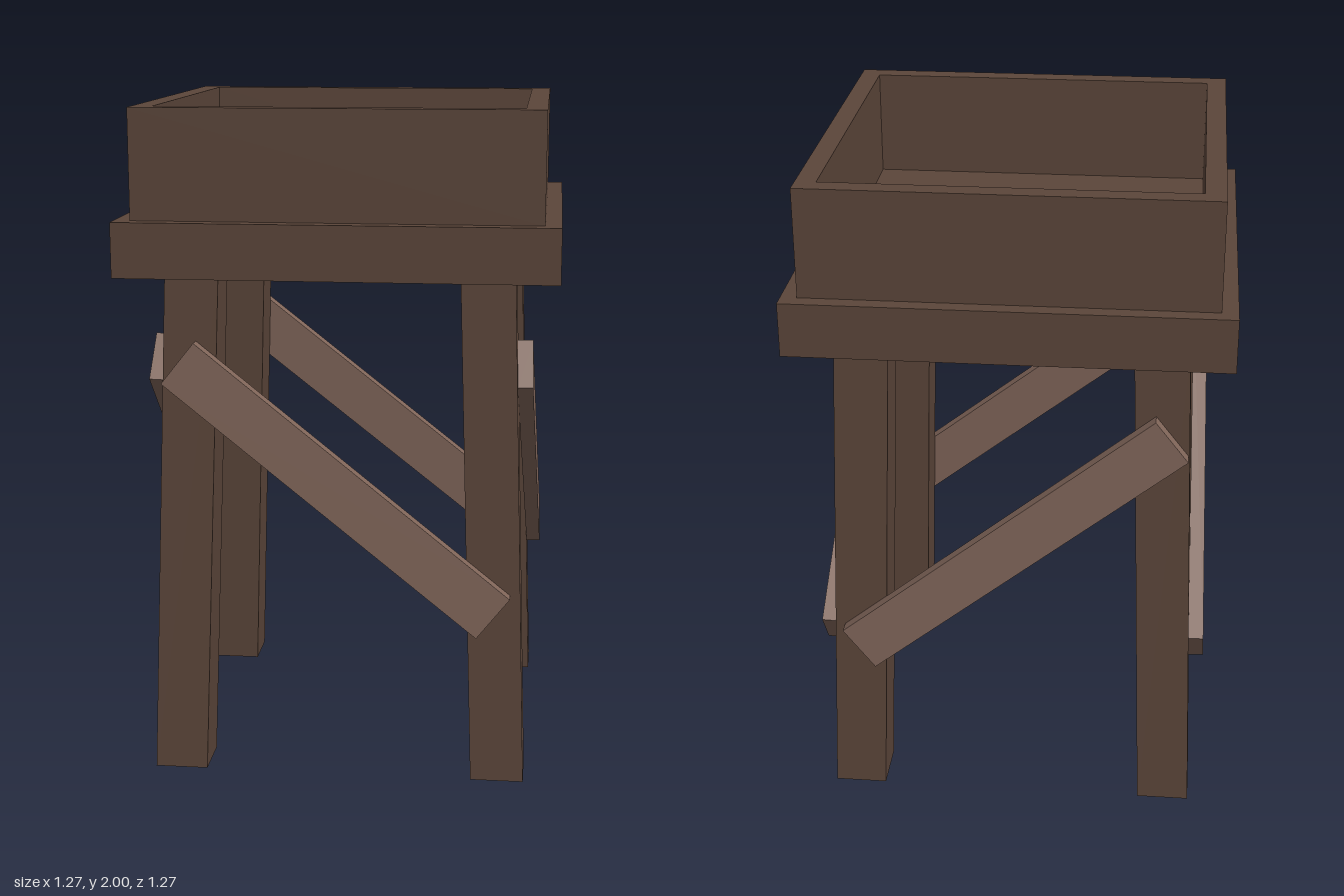
import * as THREE from 'three';

const paint = (name, color) => {
  const m = new THREE.MeshStandardMaterial({ color });
  m.name = name;
  return m;
};

export function createModel() {
  const darkWood = paint('dark wood', 0x5c463a);
  const paleWood = paint('pale wood', 0x81665a);
  const endGrain = paint('end grain', 0x884a34);

  const model = new THREE.Group();
  model.name = 'raisedBoxStand';

  const add = (parent, name, geometry, material) => {
    const mesh = new THREE.Mesh(geometry, material);
    mesh.name = name;
    parent.add(mesh);
    return mesh;
  };

  // Platform slab
  const baseY = 1.52, rimY = 1.68, topY = 2;
  add(model, 'platform', new THREE.BoxGeometry(1.275, rimY - baseY, 1.275), darkWood)
    .position.y = (baseY + rimY) / 2;

  // Open box walls: a square ring extruded upwards
  const square = (Type, r) => new Type([
    new THREE.Vector2(-r, -r), new THREE.Vector2(r, -r),
    new THREE.Vector2(r, r), new THREE.Vector2(-r, r),
  ]);
  const ring = square(THREE.Shape, 0.59);
  ring.holes.push(square(THREE.Path, 0.53));
  const walls = new THREE.ExtrudeGeometry(ring, { depth: topY - rimY, bevelEnabled: false });
  walls.rotateX(-Math.PI / 2);
  add(model, 'boxWalls', walls, darkWood).position.y = rimY;

  // Legs leaning inwards, with end grain on the feet
  const lean = 0.05 / baseY;
  const legMaterials = [darkWood, darkWood, darkWood, endGrain, darkWood, darkWood];
  for (const sx of [1, -1]) for (const sz of [1, -1]) {
    const leg = new THREE.BoxGeometry(0.158, baseY, 0.158).translate(0, baseY / 2, 0);
    const p = leg.attributes.position;
    for (let i = 0; i < p.count; i++) {
      const inset = 0.481 - lean * p.getY(i);
      p.setX(i, p.getX(i) + sx * inset);
      p.setZ(i, p.getZ(i) + sz * inset);
    }
    leg.computeVertexNormals();
    add(model, `${sz > 0 ? 'front' : 'back'}${sx > 0 ? 'Left' : 'Right'}Leg`, leg, legMaterials);
  }

  // Diagonal braces lying on the leg faces, in mirrored pairs
  const pairs = [
    { names: ['frontBrace', 'backBrace'], turn: 0, shift: -0.003 },
    { names: ['leftBrace', 'rightBrace'], turn: Math.PI / 2, shift: 0.0145 },
  ];
  for (const { names, turn, shift } of pairs) {
    const pair = new THREE.Group();
    pair.name = names[0] + 'Pair';
    pair.rotation.y = turn;
    names.forEach((name, i) => {
      const side = i === 0 ? 1 : -1;
      const brace = add(pair, name, new THREE.BoxGeometry(1.19, 0.156, 0.045), paleWood);
      brace.position.set(shift, 0.89, side * 0.553);
      brace.rotation.set(-side * lean, 0, -0.672);
    });
    model.add(pair);
  }
  return model;
}
